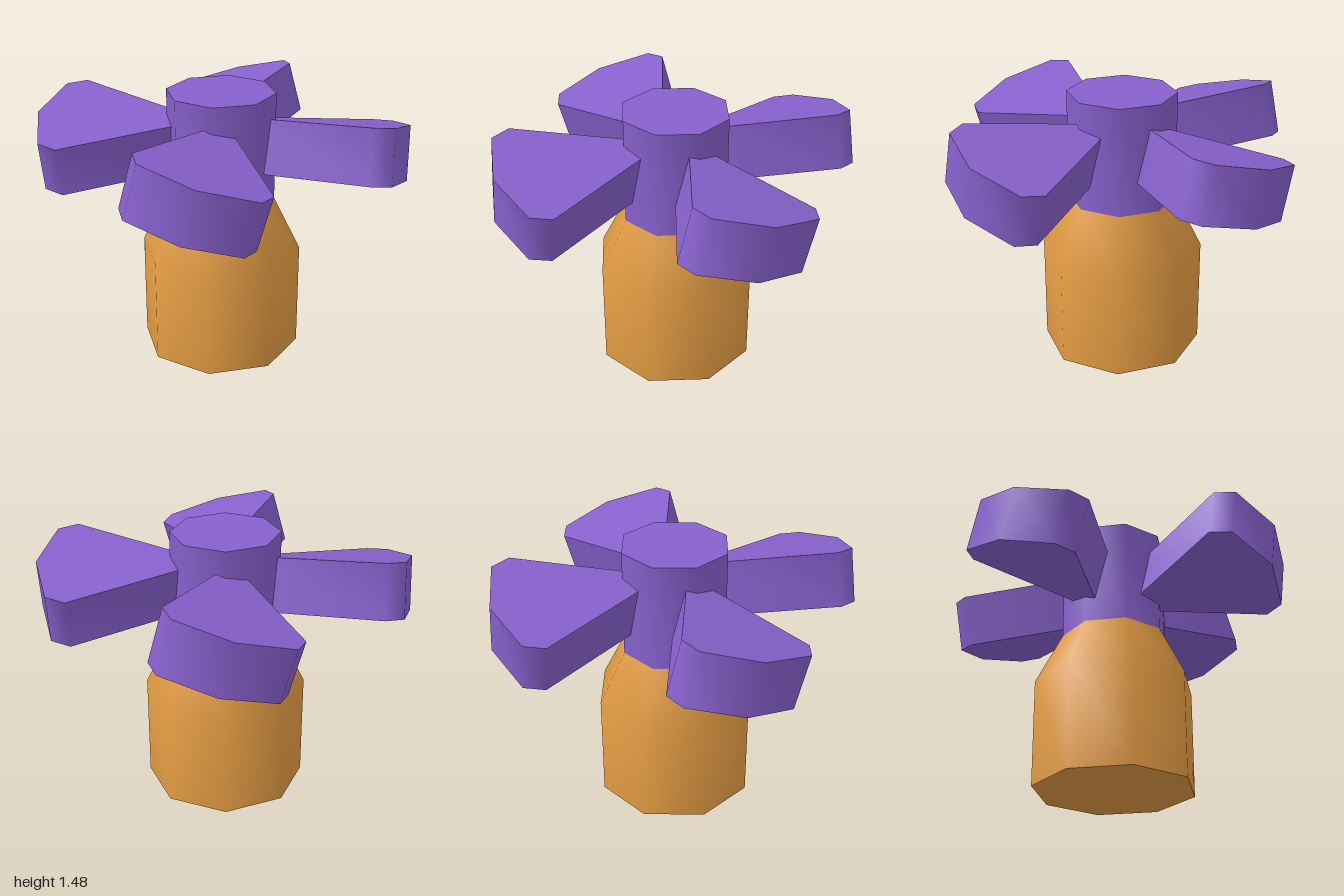
import * as THREE from 'three';
import { toCreasedNormals } from 'three/addons/utils/BufferGeometryUtils.js';

const CREASE = Math.PI / 3; // smooth around the sides, sharp at the caps

// Eight-sided turned solid from [radius, height] points, bottom to top
function turned(profile) {
  const points = profile.map(([r, y]) => new THREE.Vector2(r, y));
  return toCreasedNormals(new THREE.LatheGeometry(points, 8), CREASE);
}

// Thick wedge-shaped blade pointing to +z, pitched about its own axis
function bladeGeometry() {
  const thickness = 0.295;
  const half = [[0.344, 0.81], [0.298, 0.917]];
  const outline = [
    [0, 0.08], ...half, [0, 1],
    ...half.map(([x, y]) => [-x, y]).reverse(),
  ];
  const shape = new THREE.Shape(outline.map(([x, y]) => new THREE.Vector2(x, y)));
  const geometry = new THREE.ExtrudeGeometry(shape, { depth: thickness, bevelEnabled: false });
  geometry.translate(0, 0, -thickness / 2);
  geometry.rotateX(Math.PI / 2);
  geometry.rotateZ(-THREE.MathUtils.degToRad(15));
  return toCreasedNormals(geometry, CREASE);
}

export function createModel() {
  const purple = new THREE.MeshStandardMaterial({ name: 'purple', color: 0x8760cc });
  const orange = new THREE.MeshStandardMaterial({ name: 'orange', color: 0xe09a42 });
  const model = new THREE.Group();
  model.name = 'propellerTower';

  const add = (name, geometry, material) => {
    const mesh = new THREE.Mesh(geometry, material);
    mesh.name = name;
    model.add(mesh);
    return mesh;
  };

  // Base with sloping shoulder
  add('base', turned([[0, 0], [0.442, 0], [0.442, 0.592], [0.295, 0.885], [0, 0.885]]), orange);

  // Hub on top
  add('hub', turned([[0, 0.885], [0.295, 0.885], [0.295, 1.48], [0, 1.48]]), purple);

  // Four blades around the hub
  const blade = bladeGeometry();
  ['front', 'left', 'back', 'right'].forEach((side, i) => {
    const mesh = add(side + 'Blade', blade, purple);
    mesh.position.y = 1.185;
    mesh.rotation.y = i * Math.PI / 2;
  });

  return model;
}
